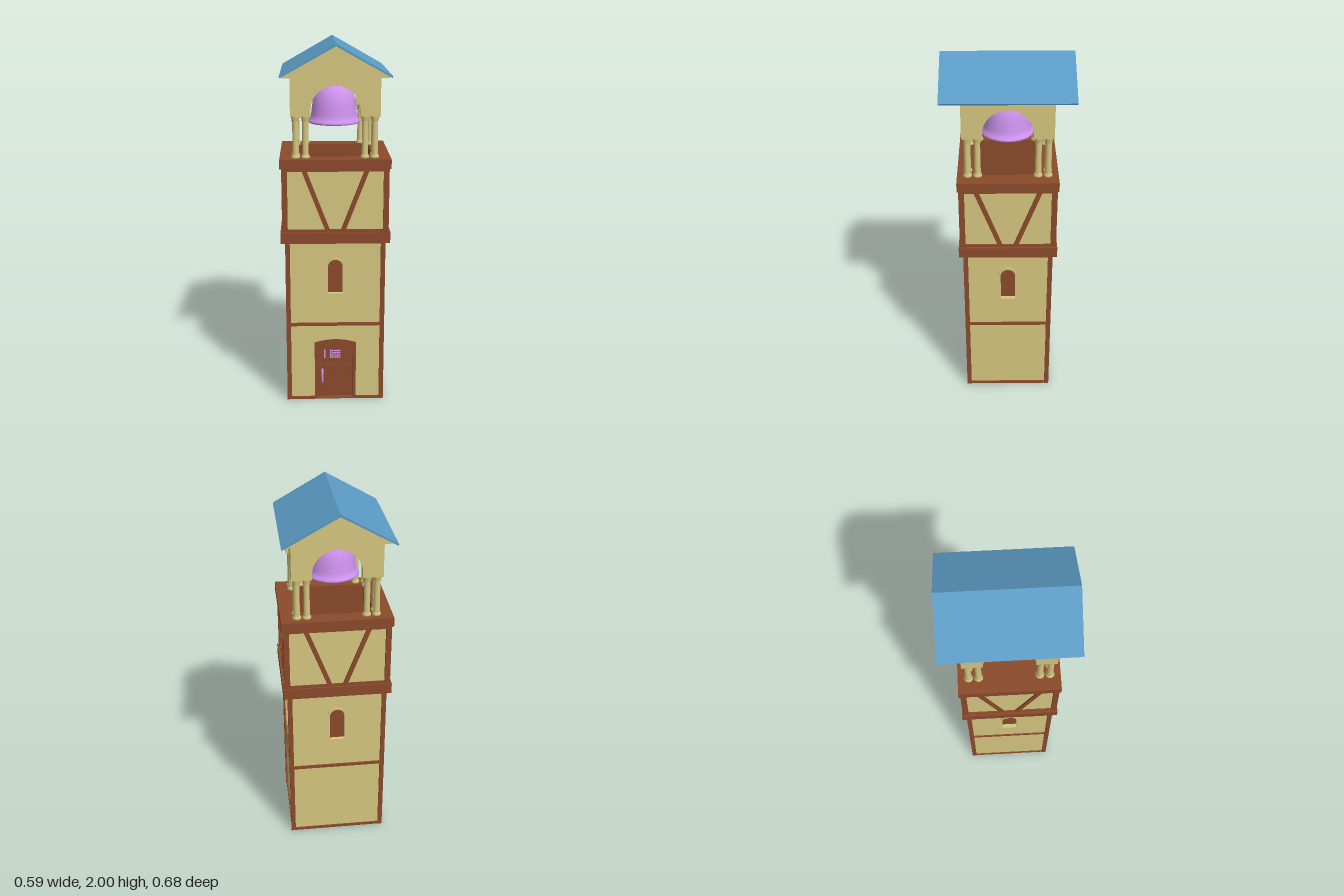
import * as THREE from 'three';

const mat = (color) => new THREE.MeshStandardMaterial({ color });
const plaster = mat(0xd6c780), wood = mat(0x8b4a2b), roofBlue = mat(0x5b9bc4), violet = mat(0xcf93ee);
const violetOpen = violet.clone();
violetOpen.side = THREE.DoubleSide;

function add(parent, name, geo, material, x = 0, y = 0, z = 0) {
  const mesh = new THREE.Mesh(geo, material);
  mesh.name = name;
  mesh.position.set(x, y, z);
  parent.add(mesh);
  return mesh;
}

// Box given by its two extreme corners
function block(parent, name, material, x0, x1, y0, y1, z0, z1) {
  return add(parent, name, new THREE.BoxGeometry(x1 - x0, y1 - y0, z1 - z0), material,
    (x0 + x1) / 2, (y0 + y1) / 2, (z0 + z1) / 2);
}

// Plate cut from a shape, filling z0..z1
function plate(parent, name, shape, material, z0, z1) {
  const geo = new THREE.ExtrudeGeometry(shape, { depth: z1 - z0, bevelEnabled: false, curveSegments: 20 });
  return add(parent, name, geo, material, 0, 0, z0);
}

const polygon = (pts) => new THREE.Shape(pts.map(([x, y]) => new THREE.Vector2(x, y)));
const rect = (hw, y0, y1) => polygon([[-hw, y0], [hw, y0], [hw, y1], [-hw, y1]]);

// Round-headed opening
function roundArch(hw, y0, spring) {
  const s = new THREE.Shape();
  s.moveTo(-hw, y0);
  s.lineTo(hw, y0);
  s.lineTo(hw, spring);
  s.absarc(0, spring, hw, 0, Math.PI, false);
  s.closePath();
  return s;
}

// Door outline with a shallow curved head
function doorShape(hw, y0, side, top) {
  const s = new THREE.Shape();
  s.moveTo(-hw, y0);
  s.lineTo(hw, y0);
  s.lineTo(hw, side);
  s.quadraticCurveTo(0, 2 * top - side, -hw, side);
  s.closePath();
  return s;
}

// Calls build(group, k) for four faces turned about y
function fourFaces(parent, name, build) {
  for (let k = 0; k < 4; k++) {
    const g = new THREE.Group();
    g.name = name;
    g.rotation.y = k * Math.PI / 2;
    build(g, k);
    parent.add(g);
  }
}

function cornerPosts(parent, hx, hz, w, y0, y1) {
  for (const sx of [-1, 1]) for (const sz of [-1, 1])
    add(parent, 'cornerPost', new THREE.BoxGeometry(w, y1 - y0, w), wood,
      sx * (hx - w / 2), (y0 + y1) / 2, sz * (hz - w / 2));
}

function buildDoor(d) {
  const door = new THREE.Group();
  door.name = 'door';
  const frame = doorShape(0.116, 0, 0.347, 0.366);
  frame.holes.push(doorShape(0.1, 0.004, 0.332, 0.351));
  plate(door, 'doorFrame', frame, wood, d - 0.045, d + 0.005);
  plate(door, 'doorLeaf', doorShape(0.1, 0.004, 0.332, 0.351), wood, d - 0.045, d - 0.025);
  const f = d - 0.025;
  block(door, 'doorRail', wood, -0.1, 0.1, 0.195, 0.205, f, f + 0.006);
  // Rows of studs
  for (const y of [0.05, 0.13, 0.18, 0.235, 0.315])
    for (let i = 0; i < 7; i++)
      add(door, 'stud', new THREE.SphereGeometry(0.004, 8, 6), wood, -0.084 + i * 0.028, y, f);
  // Barred peephole
  for (let i = 0; i < 5; i++) {
    const x = -0.026 + i * 0.013;
    block(door, 'grilleBar', violet, x - 0.002, x + 0.002, 0.24, 0.292, f, f + 0.005);
  }
  for (let i = 0; i < 4; i++) {
    const y = 0.246 + i * 0.013;
    block(door, 'grilleBar', violet, -0.03, 0.03, y - 0.002, y + 0.002, f, f + 0.005);
  }
  block(door, 'lockPlate', violet, -0.063, -0.055, 0.24, 0.292, f, f + 0.005);
  const path = new THREE.CatmullRomCurve3([[0.085, 0], [0.1, 0.016], [0.128, 0.02], [0.156, 0.016], [0.171, 0]]
    .map(([y, z]) => new THREE.Vector3(-0.073, y, f + z)));
  add(door, 'doorHandle', new THREE.TubeGeometry(path, 16, 0.006, 8), violet);
  return door;
}

function buildLowerTower() {
  const tower = new THREE.Group();
  tower.name = 'lowerTower';
  cornerPosts(tower, 0.272, 0.243, 0.025, 0, 0.95);
  fourFaces(tower, 'lowerFace', (g, k) => {
    const [hw, d] = k % 2 ? [0.233, 0.262] : [0.26, 0.235];
    const wall = k === 0
      ? polygon([[-hw, 0], [-0.112, 0], [-0.112, 0.345], [-0.06, 0.358], [0, 0.363], [0.06, 0.358],
        [0.112, 0.345], [0.112, 0], [hw, 0], [hw, 0.95], [-hw, 0.95]])
      : rect(hw, 0, 0.95);
    wall.holes.push(roundArch(0.04, 0.642, 0.8));
    plate(g, 'wall', wall, plaster, d - 0.025, d);
    // Window surround and recessed shutter
    const surround = roundArch(0.052, 0.63, 0.798);
    surround.holes.push(roundArch(0.04, 0.642, 0.798));
    plate(g, 'windowSurround', surround, plaster, d - 0.01, d + 0.007);
    plate(g, 'windowShutter', roundArch(0.042, 0.64, 0.8), wood, d - 0.024, d - 0.014);
    // Rails
    block(g, 'middleRail', wood, -hw, hw, 0.45, 0.468, d - 0.005, d + 0.007);
    block(g, 'topRail', wood, -hw, hw, 0.93, 0.95, d - 0.005, d + 0.007);
    if (k === 0) {
      block(g, 'bottomRail', wood, -hw, -0.116, 0, 0.016, d - 0.005, d + 0.007);
      block(g, 'bottomRail', wood, 0.116, hw, 0, 0.016, d - 0.005, d + 0.007);
      g.add(buildDoor(d));
    } else block(g, 'bottomRail', wood, -hw, hw, 0, 0.016, d - 0.005, d + 0.007);
  });
  return tower;
}

function buildUpperTower() {
  const tower = new THREE.Group();
  tower.name = 'upperTower';
  block(tower, 'lowerBand', wood, -0.295, 0.295, 0.94, 1.0, -0.265, 0.265);
  cornerPosts(tower, 0.286, 0.258, 0.03, 1.0, 1.35);
  fourFaces(tower, 'upperFace', (g, k) => {
    const [hw, d, inner] = k % 2 ? [0.245, 0.274, 0.2] : [0.27, 0.247, 0.175];
    block(g, 'panel', plaster, -hw, hw, 1.0, 1.35, d - 0.02, d);
    block(g, 'innerLining', wood, -hw + 0.03, hw - 0.03, 1.0, 1.35, inner, inner + 0.02);
    block(g, 'panelRail', wood, -hw, hw, 1.0, 1.014, d - 0.005, d + 0.008);
    block(g, 'panelRail', wood, -hw, hw, 1.332, 1.35, d - 0.005, d + 0.008);
    // Slanted braces
    for (const s of [-1, 1]) {
      const shape = polygon([[s * 0.027, 1.005], [s * 0.053, 1.005], [s * 0.183, 1.345], [s * 0.157, 1.345]]);
      plate(g, 'brace', shape, wood, d - 0.005, d + 0.008);
    }
  });
  // Open band around the top
  const ring = rect(0.295, -0.265, 0.265);
  ring.holes.push(rect(0.2, -0.175, 0.175));
  const band = plate(tower, 'upperBand', ring, wood, 0, 0.05);
  band.rotation.x = -Math.PI / 2;
  band.position.y = 1.348;
  return tower;
}

function buildBelfry() {
  const belfry = new THREE.Group();
  belfry.name = 'belfry';
  const profile = [[0, 0], [0.022, 0], [0.024, 0.008], [0.02, 0.018], [0.017, 0.022], [0.016, 0.195],
    [0.021, 0.2], [0.018, 0.206], [0.024, 0.218], [0.024, 0.232], [0, 0.232]];
  const columnGeo = new THREE.LatheGeometry(profile.map(([r, y]) => new THREE.Vector2(r, y)), 16);
  // Three columns under each corner
  for (const sx of [-1, 1]) for (const sz of [-1, 1])
    for (const [x, z] of [[0.209, 0.209], [0.157, 0.209], [0.209, 0.157]])
      add(belfry, 'column', columnGeo, plaster, sx * x, 1.396, sz * z);
  // Arched walls
  fourFaces(belfry, 'archedSide', (g, k) => {
    const hw = k % 2 ? 0.2355 : 0.236, wall = new THREE.Shape();
    wall.moveTo(-hw, 1.622);
    wall.lineTo(-0.13, 1.622);
    wall.lineTo(-0.13, 1.65);
    wall.absarc(0, 1.65, 0.13, Math.PI, 0, true);
    wall.lineTo(0.13, 1.622);
    wall.lineTo(hw, 1.622);
    wall.lineTo(hw, 1.83);
    wall.lineTo(-hw, 1.83);
    plate(g, 'archedWall', wall, plaster, 0.182, hw);
  });
  return belfry;
}

function buildBell() {
  const bell = new THREE.Group();
  bell.name = 'bell';
  const pts = [[0.125, 1.562], [0.138, 1.555], [0.144, 1.56], [0.142, 1.569], [0.131, 1.578], [0.125, 1.6],
    [0.121, 1.64], [0.115, 1.68], [0.102, 1.72], [0.078, 1.753], [0.045, 1.774], [0, 1.782]];
  add(bell, 'bellBody', new THREE.LatheGeometry(pts.map(([r, y]) => new THREE.Vector2(r, y)), 40), violetOpen);
  add(bell, 'hanger', new THREE.CylinderGeometry(0.015, 0.015, 0.06, 12), violet, 0, 1.8, 0);
  // Pair of clappers
  for (const z of [-0.023, 0.023]) {
    add(bell, 'clapperRod', new THREE.CylinderGeometry(0.004, 0.004, 0.2, 8), violet, 0, 1.66, z);
    add(bell, 'clapper', new THREE.SphereGeometry(0.012, 12, 8), violet, 0, 1.552, z);
  }
  return bell;
}

function buildRoof() {
  const roof = new THREE.Group();
  roof.name = 'roof';
  const gable = polygon([[-0.275, 1.826], [0.275, 1.826], [0.275, 1.836], [0, 1.988], [-0.275, 1.836]]);
  plate(roof, 'gable', gable, plaster, -0.302, 0.302);
  const cover = polygon([[-0.287, 1.838], [-0.284, 1.83], [0, 1.987], [0.284, 1.83], [0.287, 1.838], [0, 2]]);
  plate(roof, 'roofCover', cover, roofBlue, -0.342, 0.342);
  return roof;
}

export function createModel() {
  const model = new THREE.Group();
  model.name = 'bellTower';
  model.add(buildLowerTower(), buildUpperTower(), buildBelfry(), buildBell(), buildRoof());
  return model;
}
